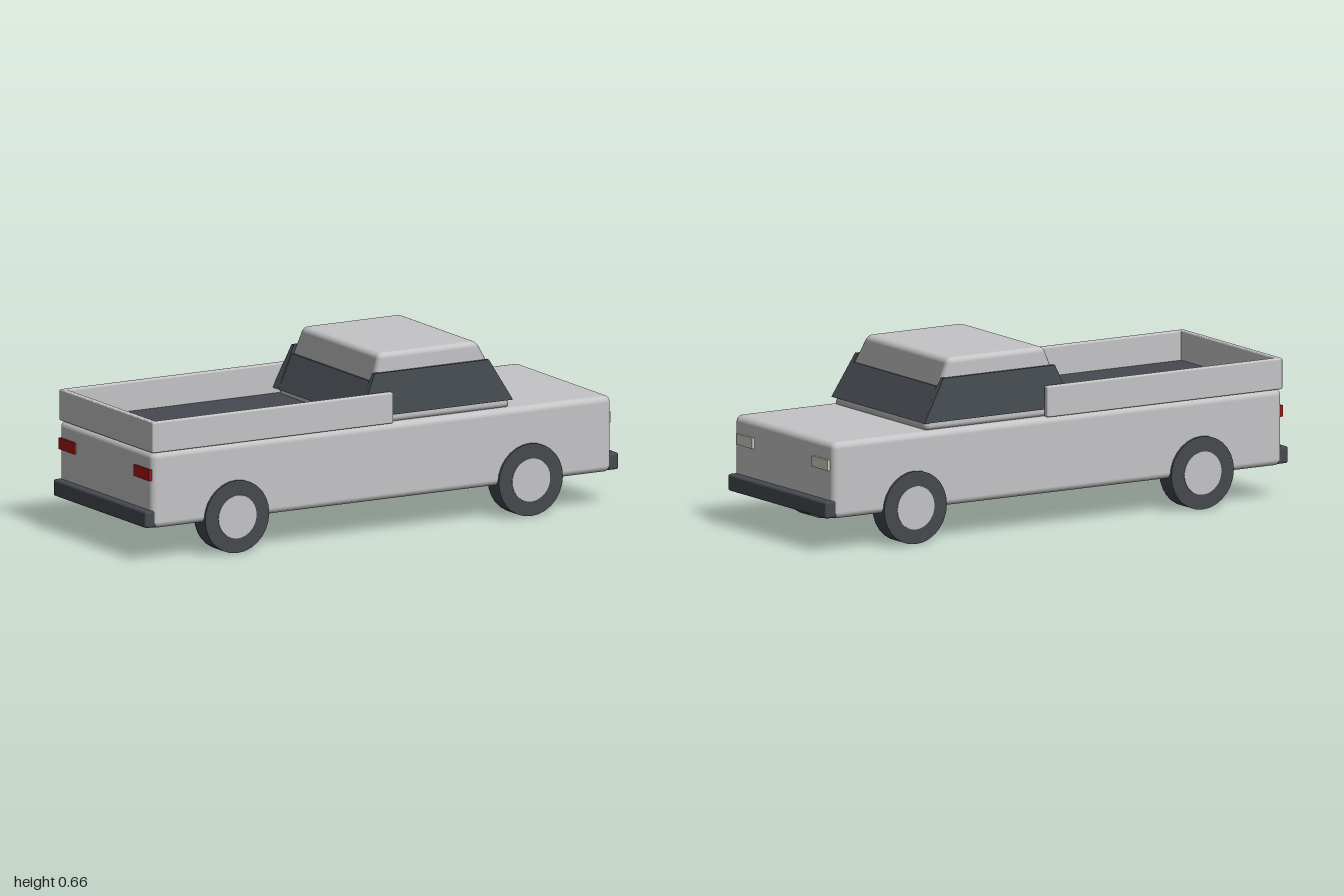
import * as THREE from 'three';
import { RoundedBoxGeometry } from 'three/addons/geometries/RoundedBoxGeometry.js';

const material = (name, color) => {
  const m = new THREE.MeshStandardMaterial({ color });
  m.name = name;
  return m;
};

export function createModel() {
  const paint = material('silver paint', 0xc4c4c6);
  const glass = material('dark glass', 0x454b50);
  const rubber = material('dark rubber', 0x454a50);
  const lamp = material('headlight cream', 0xd0d0c4);
  const red = material('tail light red', 0xa81616);

  const truck = new THREE.Group();
  truck.name = 'pickupTruck';

  const add = (name, geometry, mat) => {
    const mesh = new THREE.Mesh(geometry, mat);
    mesh.name = name;
    truck.add(mesh);
    return mesh;
  };

  // Box given by its limits on each axis, rounded when r > 0
  const box = (name, [x0, x1], [y0, y1], [z0, z1], mat, r = 0) => {
    const size = [x1 - x0, y1 - y0, z1 - z0];
    const geometry = r ? new RoundedBoxGeometry(...size, 3, r) : new THREE.BoxGeometry(...size);
    geometry.translate((x0 + x1) / 2, (y0 + y1) / 2, (z0 + z1) / 2);
    return add(name, geometry, mat);
  };

  // Tapers a geometry: each level is [y, xBack, xFront, zNear, zFar]
  const taper = (geometry, low, high) => {
    geometry.computeBoundingBox();
    const { min, max } = geometry.boundingBox;
    const p = geometry.attributes.position;
    const lerp = THREE.MathUtils.lerp;
    for (let i = 0; i < p.count; i++) {
      const u = (p.getX(i) - min.x) / (max.x - min.x);
      const v = (p.getY(i) - min.y) / (max.y - min.y);
      const w = (p.getZ(i) - min.z) / (max.z - min.z);
      const [y, xb, xf, zn, zf] = low.map((a, k) => lerp(a, high[k], v));
      p.setXYZ(i, lerp(xb, xf, u), y, lerp(zn, zf, w));
    }
    return geometry;
  };
  const frustum = (low, high) => {
    const g = taper(new THREE.BoxGeometry(1, 1, 1), low, high);
    g.computeVertexNormals();
    return g;
  };

  // Body
  box('body', [-0.972, 0.968], [0.125, 0.408], [-0.334, 0.334], paint, 0.024);

  // Cab shell and glazing
  add('cab', taper(new RoundedBoxGeometry(0.5, 0.25, 0.6, 4, 0.02),
    [0.404, -0.07, 0.562, -0.311, 0.311], [0.658, 0.02, 0.434, -0.276, 0.276]), paint);
  add('windscreenAndRearWindow', frustum(
    [0.434, -0.083, 0.562, -0.309, 0.309], [0.56, -0.022, 0.488, -0.275, 0.275]), glass);
  for (const s of [1, -1]) {
    const span = (inner, outer) => (s > 0 ? [inner, outer] : [-outer, -inner]);
    add('sideWindow', frustum(
      [0.434, -0.083, 0.562, ...span(0.27, 0.313)],
      [0.59, -0.012, 0.47, ...span(0.279, 0.296)]), glass);
    // Cargo bed side
    box('bedSide', [-0.972, 0.045], [0.407, 0.522], span(0.31, 0.335), paint, 0.006);
    // Lights
    box('headlight', [0.96, 0.977], [0.302, 0.342], span(0.199, 0.307), lamp);
    box('tailLight', [-0.981, -0.965], [0.303, 0.345], span(0.212, 0.322), red);
  }

  // Cargo bed
  box('bedFloor', [-0.955, -0.03], [0.4, 0.413], [-0.312, 0.312], rubber);
  box('tailgate', [-0.972, -0.948], [0.407, 0.522], [-0.33, 0.33], paint, 0.004);

  // Bumpers
  box('frontBumper', [0.95, 1], [0.13, 0.192], [-0.33, 0.33], rubber, 0.009);
  box('rearBumper', [-1, -0.95], [0.13, 0.192], [-0.33, 0.33], rubber, 0.009);

  // Wheels
  const tyre = new THREE.CylinderGeometry(0.135, 0.135, 0.08, 28).rotateX(Math.PI / 2);
  const hub = new THREE.CylinderGeometry(0.08, 0.08, 0.084, 28).rotateX(Math.PI / 2);
  for (const x of [-0.62, 0.62]) {
    for (const s of [1, -1]) {
      add('tyre', tyre, rubber).position.set(x, 0.135, s * 0.303);
      add('hubcap', hub, paint).position.set(x, 0.135, s * 0.3035);
    }
  }
  return truck;
}
